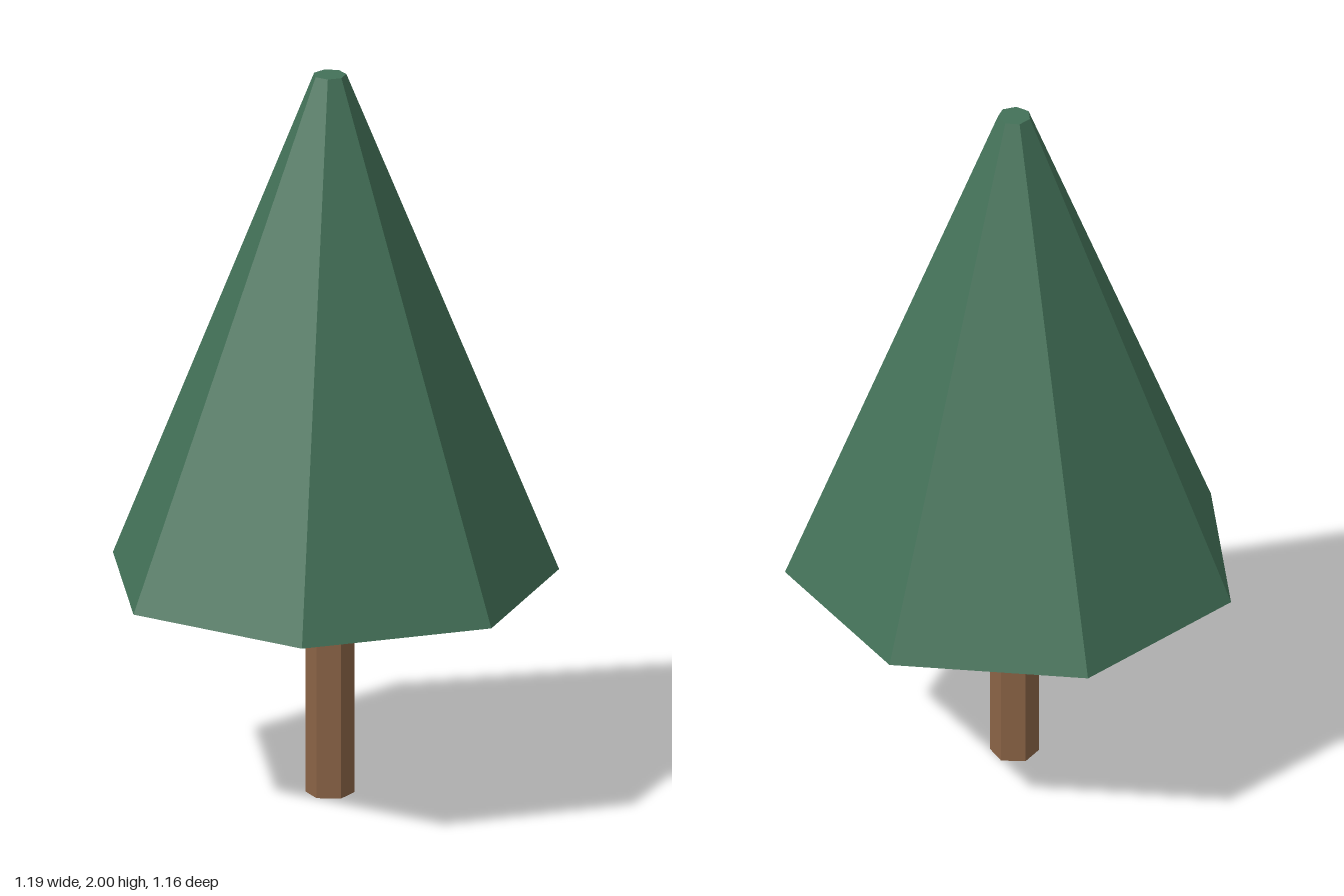
import * as THREE from 'three';

// Faceted, capped column between two heights; the first corner points along +z before turning
function taperedPrism(name, color, sides, topRadius, bottomRadius, y0, y1, turn = 0) {
  const geometry = new THREE.CylinderGeometry(topRadius, bottomRadius, y1 - y0, sides);
  geometry.rotateY(turn);
  const mesh = new THREE.Mesh(geometry, new THREE.MeshStandardMaterial({ color, flatShading: true }));
  mesh.name = name;
  mesh.position.y = (y0 + y1) / 2;
  return mesh;
}

export function createModel() {
  const tree = new THREE.Group();
  tree.name = 'pineTree';

  // Hexagonal trunk with a corner facing front
  tree.add(taperedPrism('trunk', 0x8b6446, 6, 0.065, 0.065, 0, 0.6));

  // Seven-sided foliage with a flat side facing front and a small flat tip
  tree.add(taperedPrism('foliage', 0x437158, 7, 0.044, 0.61, 0.6, 2, Math.PI));

  // The odd-sided foliage is off balance, so its axis sits slightly forward
  for (const part of tree.children) part.position.z = 0.03;
  return tree;
}
